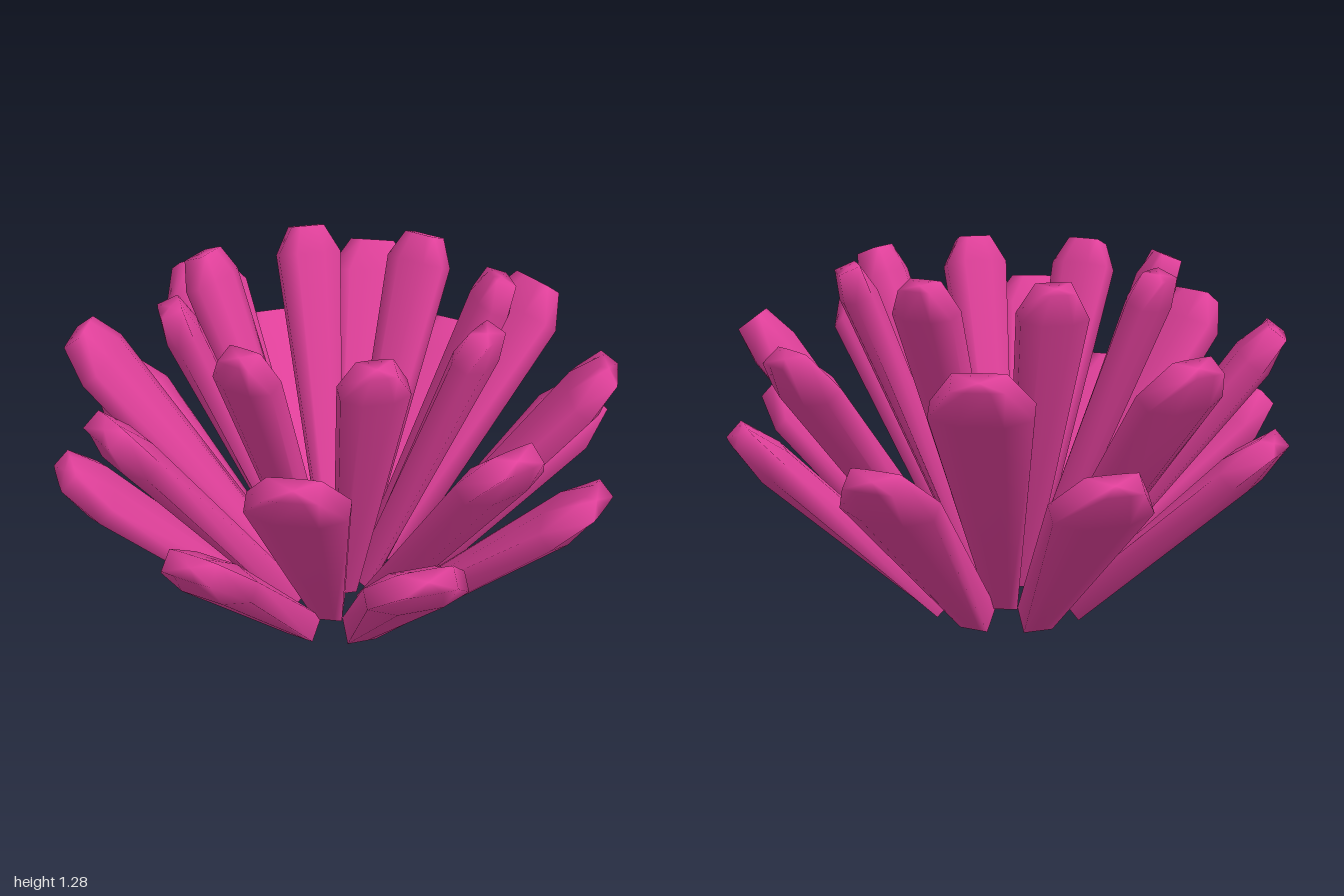
import * as THREE from 'three';

// Eight-point cross-section: flat sides, ridge of half-width k, side edges of relative thickness e
const section = (k, e) => [
  [1, -e], [1, e], [k, 1], [-k, 1],
  [-1, e], [-1, -e], [-k, -1], [k, -1],
];

// Closed, smooth petal along +y; stations are [y, halfWidth, halfThickness, k, e]
function petalGeometry(stations) {
  const n = 8;
  const pos = [];
  const index = [];
  for (const [y, w, t, k, e] of stations) {
    for (const [x, z] of section(k, e)) pos.push(x * w, y, z * t);
  }
  for (let s = 0; s < stations.length - 1; s++) {
    for (let i = 0; i < n; i++) {
      const a = s * n + i;
      const b = s * n + (i + 1) % n;
      index.push(a, a + n, b, b, a + n, b + n);
    }
  }
  // End caps
  const last = (stations.length - 1) * n;
  const bottom = pos.length / 3;
  pos.push(0, stations[0][0], 0, 0, stations[stations.length - 1][0], 0);
  for (let i = 0; i < n; i++) {
    const j = (i + 1) % n;
    index.push(bottom, i, j, bottom + 1, last + j, last + i);
  }
  const g = new THREE.BufferGeometry();
  g.setAttribute('position', new THREE.Float32BufferAttribute(pos, 3));
  g.setIndex(index);
  g.computeVertexNormals();
  return g;
}

export function createModel() {
  const model = new THREE.Group();
  model.name = 'petalCluster';
  const pink = new THREE.MeshStandardMaterial({ color: 0xe0409a });
  pink.name = 'pink';

  // base and tip are [radius, height]; angle is measured from +x towards +z
  const rings = [
    { name: 'lowerPetal', angle: 11, base: [0.262, 0.037], tip: [0.975, 0.725], foot: 0.053, width: 0.17, tipWidth: 0.09, thick: 0.068, chamfer: 0.15 },
    { name: 'middlePetal', angle: -9, base: [0.215, 0.1], tip: [0.927, 1.046], foot: 0.05, width: 0.165, tipWidth: 0.085, thick: 0.068, chamfer: 0.13 },
    { name: 'upperPetal', angle: 15.5, base: [0.115, 0.13], tip: [0.575, 1.267], foot: 0.037, width: 0.115, tipWidth: 0.06, thick: 0.062, chamfer: 0.1 },
  ];

  for (const r of rings) {
    const dr = r.tip[0] - r.base[0];
    const dy = r.tip[1] - r.base[1];
    const length = Math.hypot(dr, dy);
    const geometry = petalGeometry([
      [0, r.foot, r.foot * 0.92, 0.45, 1],
      [length - r.chamfer, r.width, r.thick, 0.45, 0.5],
      [length, r.tipWidth, 0.04, 0.45, 0.95],
    ]);
    // Lean outwards, then move to the foot of the ring
    geometry.rotateX(Math.atan2(dr, dy));
    geometry.translate(0, r.base[1], r.base[0]);

    const ring = new THREE.Group();
    ring.name = r.name + 'Ring';
    for (let i = 0; i < 8; i++) {
      const petal = new THREE.Mesh(geometry, pink);
      petal.name = r.name;
      petal.rotation.y = Math.PI / 2 - THREE.MathUtils.degToRad(r.angle + i * 45);
      ring.add(petal);
    }
    model.add(ring);
  }
  return model;
}
